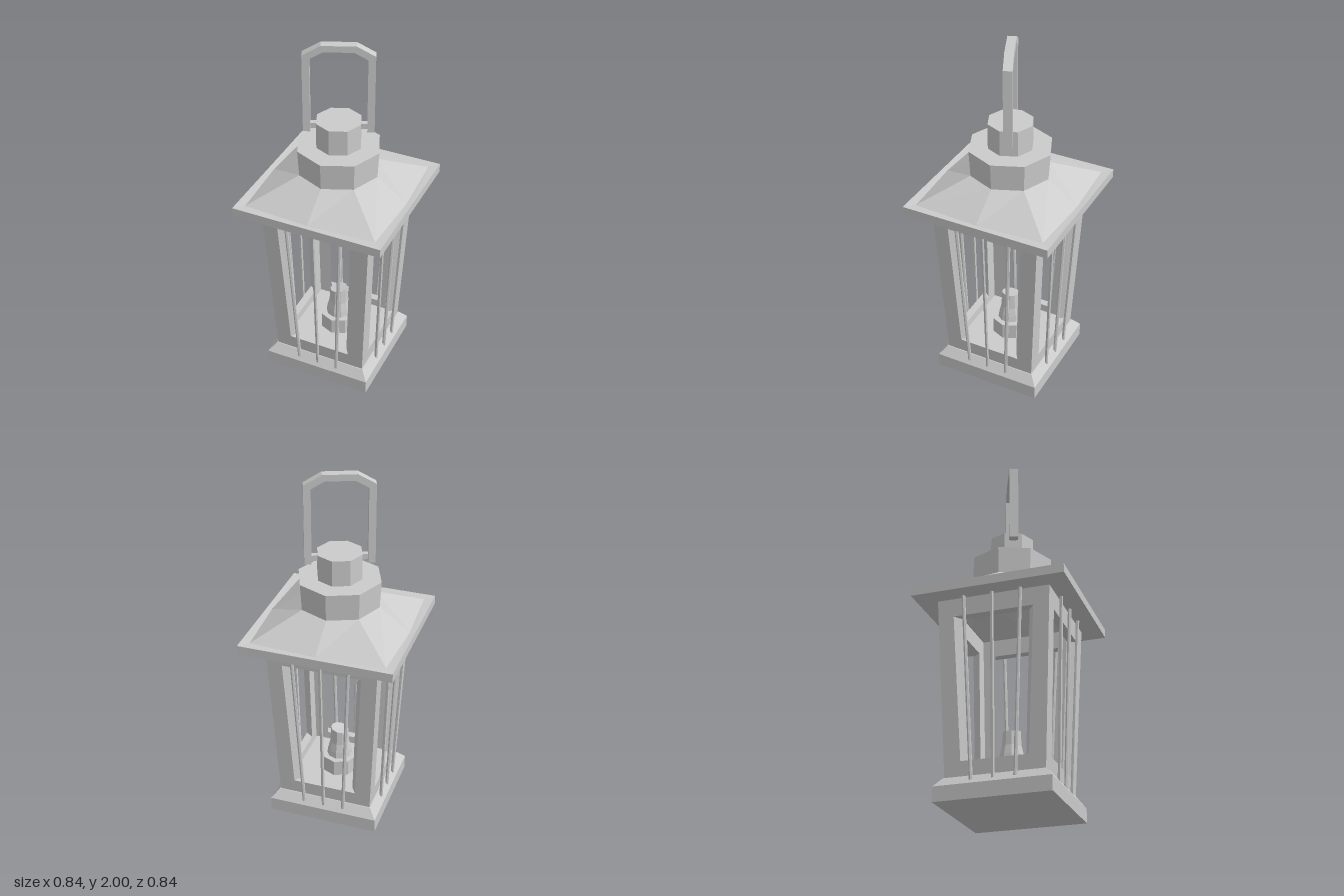
import * as THREE from 'three';

const material = new THREE.MeshStandardMaterial({ color: 0xcccccc, flatShading: true, side: THREE.DoubleSide });

function add(parent, name, geometry) {
  const mesh = new THREE.Mesh(geometry, material);
  mesh.name = name;
  parent.add(mesh);
  return mesh;
}

// Skins a list of closed rings that have equal point counts
function loft(rings) {
  const pos = [];
  for (let r = 0; r < rings.length - 1; r++) {
    const a = rings[r], b = rings[r + 1], n = a.length;
    for (let i = 0; i < n; i++) {
      const j = (i + 1) % n;
      pos.push(...a[i], ...a[j], ...b[j], ...a[i], ...b[j], ...b[i]);
    }
  }
  const g = new THREE.BufferGeometry();
  g.setAttribute('position', new THREE.Float32BufferAttribute(pos, 3));
  g.computeVertexNormals();
  return g;
}

// Eight-point rings: a square with side midpoints, or a regular octagon
function ring(y, corner, mid = corner) {
  const pts = [];
  for (let i = 0; i < 8; i++) {
    const t = i * Math.PI / 4;
    const r = i % 2 ? corner * Math.SQRT2 : mid;
    pts.push([r * Math.cos(t), y, -r * Math.sin(t)]);
  }
  return pts;
}
const oct = (y, r) => ring(y, r * Math.SQRT1_2, r);

// Half width of the tapered housing at height y
const halfWidth = (y) => 0.265 + (y - 0.13) * 0.0464;

// One wall with a window; the inner face is the outer one shrunk to the axis
function wallGeometry() {
  const place = (pts, s) => pts.map(([x, y]) => [x * s, y, halfWidth(y) * s]);
  const outline = [0.12, 1.10].map((y) => [halfWidth(y), y]);
  const quad = ([[x0, y0], [x1, y1]]) => [[-x0, y0], [x0, y0], [x1, y1], [-x1, y1]];
  const outer = quad(outline), hole = quad([[0.18, 0.21], [0.22, 1.0]]);
  return loft([place(outer, 1), place(hole, 1), place(hole, 0.84), place(outer, 0.84)]);
}

// Straight thin bar between two points
function barGeometry(from, to, radius) {
  return new THREE.TubeGeometry(new THREE.LineCurve3(from, to), 1, radius, 6);
}

export function createModel() {
  const lantern = new THREE.Group();
  lantern.name = 'lantern';

  // Foot with bevelled top and raised inner floor
  add(lantern, 'base', loft([
    ring(0, 0), ring(0, 0.31), ring(0.08, 0.31), ring(0.13, 0.27),
    ring(0.13, 0.22), ring(0.17, 0.22), ring(0.17, 0),
  ]));

  // Four windowed walls, each with three guard bars
  for (let i = 0; i < 4; i++) {
    const side = new THREE.Group();
    side.name = 'side' + (i + 1);
    side.rotation.y = i * Math.PI / 2;
    add(side, 'wall', wallGeometry());
    for (const k of [-1, 0, 1]) {
      add(side, 'guardBar', barGeometry(
        new THREE.Vector3(k * 0.115, 0.1, 0.288),
        new THREE.Vector3(k * 0.158, 1.11, 0.33), 0.01));
    }
    lantern.add(side);
  }

  // Hollow roof, from the eave up to the cap
  add(lantern, 'eave', loft([
    ring(1.10, 0.25), ring(1.10, 0.42), ring(1.15, 0.42), ring(1.147, 0.37, 0.39),
  ]));
  add(lantern, 'roof', loft([ring(1.147, 0.37, 0.39), oct(1.27, 0.222)]));
  add(lantern, 'collar', loft([oct(1.27, 0.222), oct(1.42, 0.23), oct(1.42, 0)]));
  add(lantern, 'cap', loft([oct(1.42, 0.125), oct(1.565, 0.125), oct(1.565, 0)]));

  // Carrying handle, turned to face a flat side of the cap
  const handle = new THREE.Group();
  handle.name = 'handle';
  handle.rotation.y = Math.PI / 8;
  const half = [[0.185, 1.505], [0.185, 1.945], [0.09, 2.0]];
  const inner = [[0.078, 1.965], [0.147, 1.925], [0.147, 1.505]];
  const mirror = (pts) => pts.map(([x, y]) => [-x, y]).reverse();
  const outline = [...half, ...mirror(half), ...mirror(inner), ...inner];
  // Outer arch right to left, then back along the inside
  const shape = new THREE.Shape(outline.map(([x, y]) => new THREE.Vector2(x, y)));
  const bow = new THREE.ExtrudeGeometry(shape, { depth: 0.048, bevelEnabled: false });
  bow.translate(0, 0, -0.024);
  add(handle, 'handleBow', bow);
  for (const s of [-1, 1]) {
    add(handle, 'hingePin', new THREE.BoxGeometry(0.05, 0.03, 0.03)).position.set(s * 0.13, 1.535, 0);
  }
  lantern.add(handle);

  // Candle in its dish
  add(lantern, 'candleDish', loft([oct(0.17, 0.105), oct(0.265, 0.105), oct(0.265, 0)]));
  const profile = [[0.072, 0.262], [0.066, 0.3], [0.054, 0.35], [0.049, 0.435], [0, 0.432]];
  const candle = new THREE.LatheGeometry(profile.map(([x, y]) => new THREE.Vector2(x, y)), 10);
  const p = candle.attributes.position;
  for (let i = 0; i < p.count; i++) {
    if (p.getY(i) > 0.4) p.setY(i, p.getY(i) + p.getX(i) * 0.18);
  }
  candle.computeVertexNormals();
  add(lantern, 'candle', candle);

  return lantern;
}
